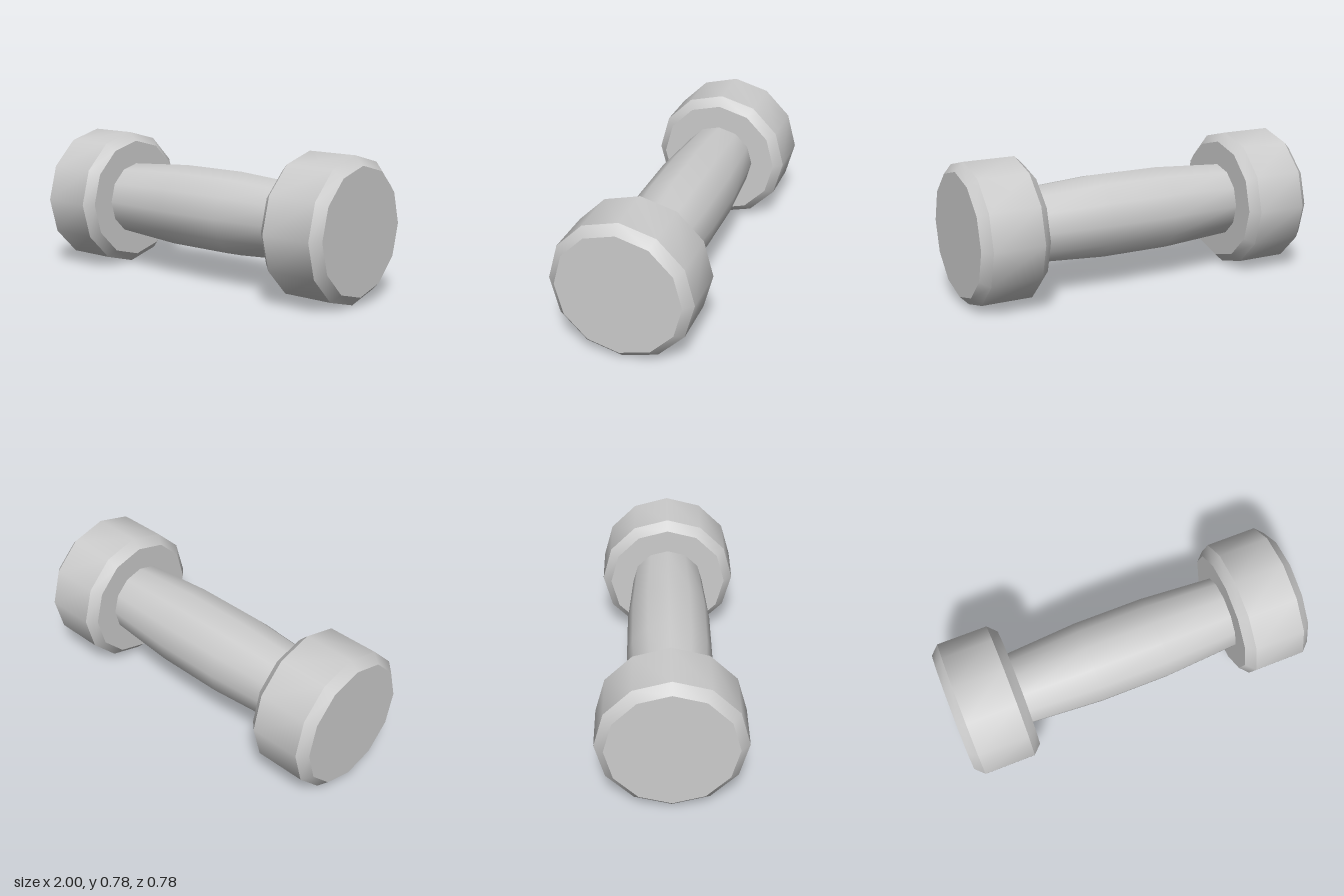
import * as THREE from 'three';
import { toCreasedNormals } from 'three/addons/utils/BufferGeometryUtils.js';

const SIDES = 12;
const RADIUS = 0.392;

// Turn a [radius, x] profile around the x axis, keeping chamfer edges sharp
function turned(profile) {
  const points = profile.map(([r, x]) => new THREE.Vector2(r, x));
  const geometry = new THREE.LatheGeometry(points, SIDES).rotateZ(-Math.PI / 2);
  return toCreasedNormals(geometry, 0.6);
}

export function createModel() {
  const group = new THREE.Group();
  group.name = 'dumbbell';
  const grey = new THREE.MeshStandardMaterial({ color: 0xcccccc });
  grey.name = 'light grey';

  const add = (name, geometry, x) => {
    const mesh = new THREE.Mesh(geometry, grey);
    mesh.name = name;
    mesh.position.set(x, RADIUS, 0);
    group.add(mesh);
  };

  // Grip, thicker in the middle
  add('handle', turned([[0.208, -0.62], [0.236, -0.2], [0.236, 0.2], [0.208, 0.62]]), 0);

  // Chamfered weights at both ends
  const half = 0.192, inner = 0.343, bevel = 0.049;
  const weight = turned([
    [0, -half], [inner, -half], [RADIUS, -half + bevel],
    [RADIUS, half - bevel], [inner, half], [0, half],
  ]);
  add('leftWeight', weight, 1 - half);
  add('rightWeight', weight, half - 1);

  return group;
}
